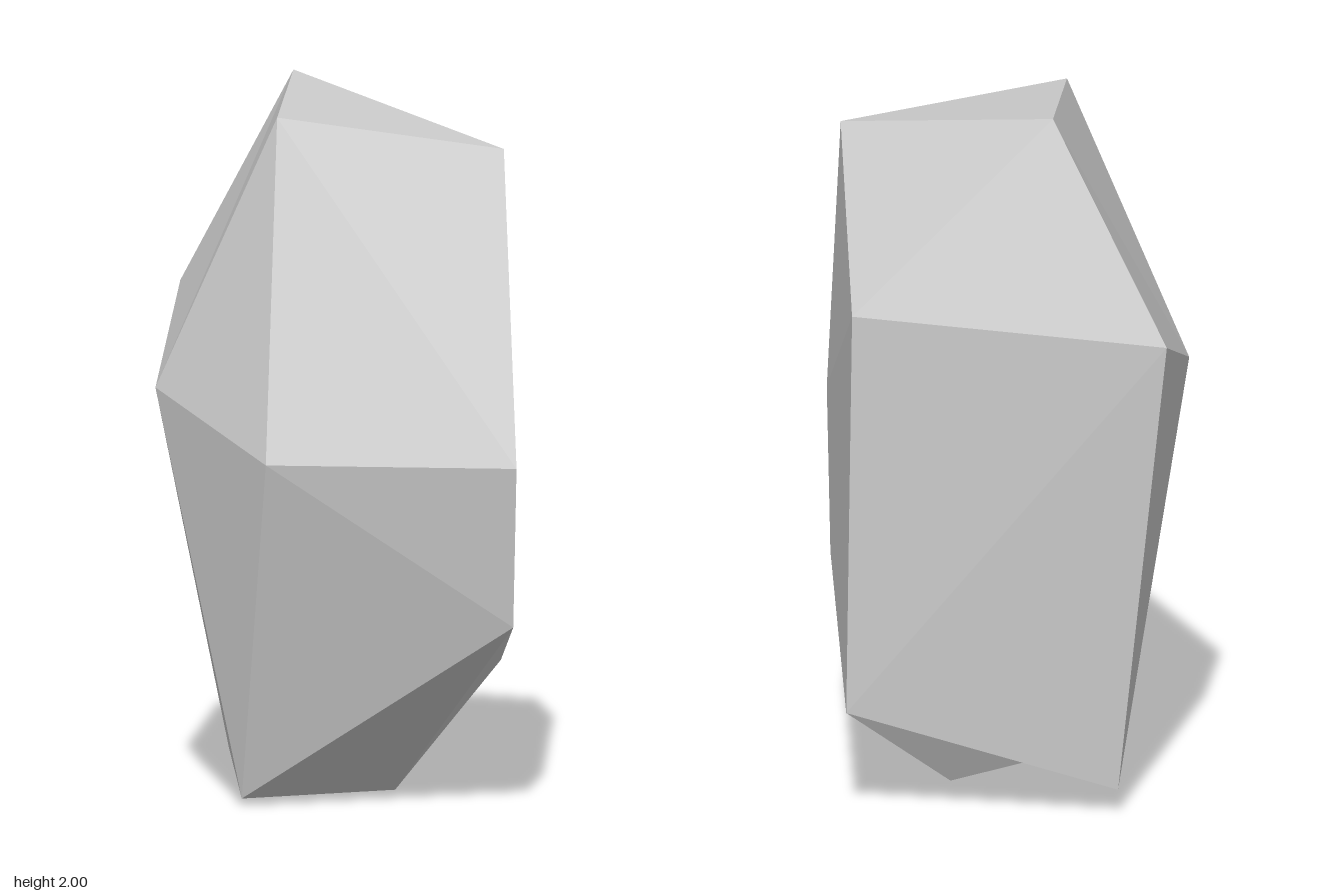
import * as THREE from 'three';

// Corners of the stone, from the peak down to the foot
const corners = {
  A: [-0.06, 2.0, -0.32],    // peak
  B: [-0.24, 1.95, 0.19],    // shoulders
  C: [0.39, 1.85, 0.28],
  D: [0.525, 1.475, -0.335],
  E: [-0.325, 1.38, -0.555],
  F: [-0.54, 1.17, -0.005],  // waist
  G: [-0.33, 1.005, 0.41],
  H: [0.355, 0.99, 0.555],
  I: [0.365, 0.53, 0.48],    // lower ring
  J: [0.535, 0.31, -0.31],
  M: [-0.21, 0.07, -0.46],
  K: [-0.325, 0.02, 0.125],  // foot
  L: [0.16, 0.0, -0.04],
};

// Facets as counter-clockwise corner loops, each fanned from its first corner
const facets = [
  'ABC', 'ACD', 'ADE', 'AEF', 'AFB',          // crown
  'BFG', 'BGHC', 'DCHIJ', 'JMED', 'FEMK',     // sides
  'FKG', 'GKIH',
  'IKL', 'ILJ', 'JLKM',                       // underside
];

function facetedGeometry() {
  const positions = [];
  for (const loop of facets) {
    for (let i = 1; i < loop.length - 1; i++) {
      for (const key of [loop[0], loop[i], loop[i + 1]]) positions.push(...corners[key]);
    }
  }
  const geometry = new THREE.BufferGeometry();
  geometry.setAttribute('position', new THREE.Float32BufferAttribute(positions, 3));
  geometry.computeVertexNormals();
  return geometry;
}

export function createModel() {
  const group = new THREE.Group();
  group.name = 'rock';
  const stone = new THREE.Mesh(
    facetedGeometry(),
    new THREE.MeshStandardMaterial({ color: 0xcccccc, flatShading: true })
  );
  stone.name = 'stone';
  group.add(stone);
  return group;
}
